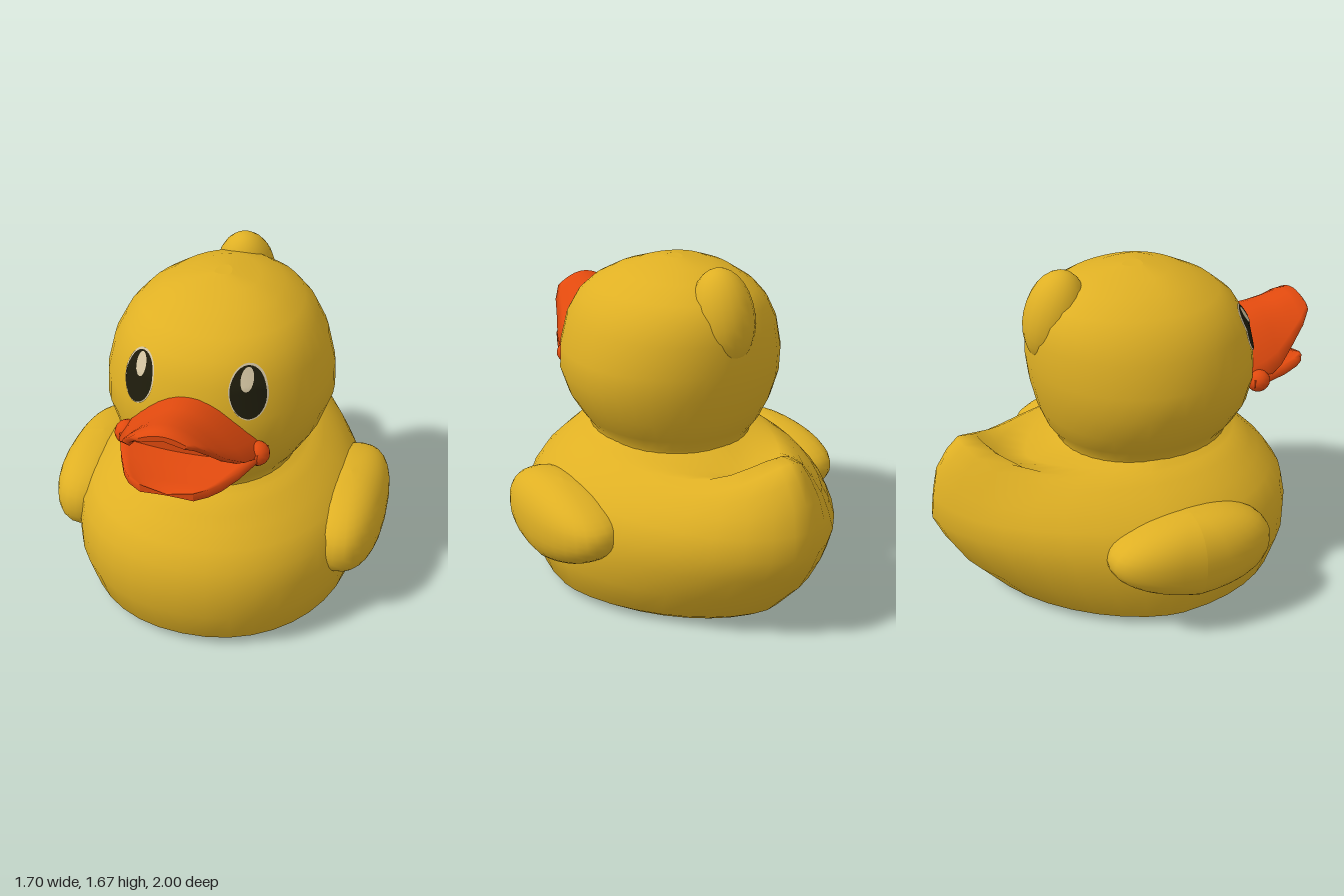
import * as THREE from 'three';

const mat = (name, color, side = THREE.FrontSide) => {
  const m = new THREE.MeshStandardMaterial({ color, side });
  m.name = name;
  return m;
};

// Skin closed rings of points; each ring runs anticlockwise seen from the last ring.
function loft(rings) {
  const n = rings[0].length, pos = rings.flat(2), idx = [];
  for (let i = 0; i < rings.length - 1; i++)
    for (let j = 0; j < n; j++) {
      const k = (j + 1) % n, a = i * n, b = a + n;
      idx.push(a + j, a + k, b + k, a + j, b + k, b + j);
    }
  // flat end caps with their own vertices
  [rings[0], rings[rings.length - 1]].forEach((ring, end) => {
    const base = pos.length / 3;
    pos.push(...ring.flat());
    const c = [0, 1, 2].map(d => ring.reduce((s, p) => s + p[d], 0) / n);
    pos.push(...c);
    for (let j = 0; j < n; j++) {
      const k = (j + 1) % n;
      idx.push(base + n, base + (end ? j : k), base + (end ? k : j));
    }
  });
  const g = new THREE.BufferGeometry();
  g.setAttribute('position', new THREE.Float32BufferAttribute(pos, 3));
  g.setIndex(idx);
  g.computeVertexNormals();
  return g;
}

const spow = (v, p) => Math.sign(v) * Math.abs(v) ** p;

// Horizontal egg outline: front reach, back reach, half width, roundness of each half.
function eggRing(y, front, back, width, mid, nFront, nBack, yBack = y) {
  const ring = [];
  for (let j = 0; j < 40; j++) {
    const a = j / 40 * Math.PI * 2, s = Math.sin(a), c = Math.cos(a);
    const p = 2 / (c > 0 ? nFront : nBack);
    const x = width * spow(s, p);
    const z = mid + Math.abs(spow(c, p)) * (c > 0 ? front - mid : back - mid);
    const lift = c < 0 ? Math.exp(-((x / 0.2) ** 2)) * Math.min(1, -c * 1.5) : 0;
    ring.push([x, y + (yBack - y) * lift, z]);
  }
  return ring;
}

// y, front z, back z, half width, y at the tail
const BODY = [
  [0, .79, -.65, .62, 0], [.05, .84, -.72, .69, .05], [.22, .885, -.87, .74, .22],
  [.36, .885, -.95, .74, .36], [.48, .86, -1, .72, .48], [.57, .8, -.985, .66, .6],
  [.64, .73, -.96, .59, .73], [.68, .69, -.9, .54, .83], [.71, .66, -.84, .5, .89],
  [.73, .63, -.74, .47, .88], [.745, .61, -.66, .44, .76], [.755, .59, -.5, .42, .71],
  [.78, .56, -.3, .38, .78],
];
// y, front z, back z, half width
const HEAD = [
  [.74, .58, -.33, .4], [.78, .57, -.32, .39], [.85, .62, -.37, .44], [.95, .665, -.41, .5],
  [1.08, .68, -.44, .545], [1.2, .67, -.455, .54], [1.35, .635, -.45, .5], [1.45, .575, -.42, .445],
  [1.52, .49, -.37, .38], [1.585, .36, -.27, .28], [1.625, .24, -.14, .17], [1.645, .12, .02, .04],
];
const HEAD_MID = 0.1, HEAD_N = 2.1;

// Front surface of the head at x, y
function headZ(x, y) {
  const i = HEAD.findIndex(r => r[0] > y) - 1, a = HEAD[i], b = HEAD[i + 1];
  const t = (y - a[0]) / (b[0] - a[0]), at = d => a[d] + (b[d] - a[d]) * t;
  return HEAD_MID + (at(1) - HEAD_MID) * (1 - Math.abs(x / at(3)) ** HEAD_N) ** (1 / HEAD_N);
}

// Thin oval wrapped on the head
function eyePatch(cx, cy, rx, ry, tilt, offset) {
  const g = new THREE.RingGeometry(0, 1, 32, 5), p = g.attributes.position;
  for (let i = 0; i < p.count; i++) {
    const u = p.getX(i) * rx, v = p.getY(i) * ry;
    const x = cx + u * Math.cos(tilt) - v * Math.sin(tilt);
    const y = cy + u * Math.sin(tilt) + v * Math.cos(tilt);
    p.setXYZ(i, x, y, headZ(x, y) + offset);
  }
  g.computeVertexNormals();
  return g;
}

// Plump wing, fuller at the front and raised at the back
function wingGeometry(side) {
  const g = new THREE.SphereGeometry(1, 28, 20), p = g.attributes.position;
  for (let i = 0; i < p.count; i++) {
    const x = spow(p.getX(i), .85), y = spow(p.getY(i), .9), z = spow(p.getZ(i), .85);
    const back = Math.max(0, -z);
    p.setXYZ(i, side * .66 + x * .19, .405 + y * .22 * (1 - .3 * back) + .05 * back, .085 + z * .425);
  }
  g.computeVertexNormals();
  return g;
}

// Beak cross-section: over the upper curve from +x to -x, back along the lower curve
function beakRing(z, upper, lower) {
  const ring = [], n = 14;
  for (let j = 0; j <= n; j++) ring.push([...upper(1 - 2 * j / n), z]);
  for (let j = 0; j <= n; j++) ring.push([...lower(-1 + 2 * j / n), z]);
  return ring;
}

export function createModel() {
  const duck = new THREE.Group();
  duck.name = 'duck';
  const yellow = mat('yellow', 0xdfb024), orange = mat('orange', 0xe24a0e);
  const black = mat('black', 0x1e1c0c), cream = mat('cream', 0xd2c3a0);
  const add = (name, geometry, material) => {
    const m = new THREE.Mesh(geometry, material);
    m.name = name;
    duck.add(m);
    return m;
  };

  // body with upturned tail, and head
  add('body', loft(BODY.map(([y, f, b, w, t]) => eggRing(y, f, b, w, .05, 2.15, 1.6, t))), yellow);
  add('head', loft(HEAD.map(([y, f, b, w]) => eggRing(y, f, b, w, HEAD_MID, HEAD_N, 2))), yellow);

  // tuft at the back of the head
  const tuft = add('tuft', new THREE.SphereGeometry(1, 20, 14), yellow);
  tuft.scale.set(.15, .23, .15);
  tuft.position.set(0, 1.44, -.325);
  tuft.rotation.x = .25;

  // upper beak: z, half width, edge y, ridge y
  const upperBeak = [
    [.58, .34, 1.04, 1.29], [.68, .32, 1.06, 1.31], [.76, .29, 1.09, 1.315], [.85, .24, 1.16, 1.33],
    [.93, .2, 1.24, 1.35], [.985, .15, 1.295, 1.352], [1, .11, 1.305, 1.335],
  ].map(([z, w, e, r]) => {
    const arch = s => Math.cos(s * Math.PI / 2) ** .9;
    const thick = Math.min(.055, (r - e) * .8);
    return beakRing(z, s => [w * s, e + (r - e) * arch(s)],
      s => [w * .86 * s, e - .015 + (r - e - thick + .015) * arch(s)]);
  });
  add('upperBeak', loft(upperBeak), orange);

  // lower beak: z, half width, rim y, keel y
  const lowerBeak = [
    [.58, .35, 1.07, .95], [.68, .32, 1.07, .915], [.8, .27, 1.06, .94],
    [.9, .22, 1.06, .97], [.95, .18, 1.06, .99], [.975, .12, 1.045, 1.01],
  ].map(([z, w, rim, keel]) => beakRing(z,
    s => [w * s, rim - .03 * (1 - s * s)],
    s => [w * s, rim - .04 + (keel - rim + .04) * (1 - Math.abs(s) ** 1.5)]));
  add('lowerBeak', loft(lowerBeak), orange);

  // back wall of the open mouth
  const wall = new THREE.Shape([[-.29, 1], [.29, 1], [.27, 1.12], [.15, 1.24], [0, 1.28], [-.15, 1.24], [-.27, 1.12]]
    .map(p => new THREE.Vector2(...p)));
  add('mouthWall', new THREE.ExtrudeGeometry(wall, { depth: .03, bevelEnabled: false }), orange).position.z = .67;

  for (const side of [1, -1]) {
    const label = side > 0 ? 'left' : 'right';
    add(label + 'Wing', wingGeometry(side), yellow);

    // rounded mouth corner
    const corner = add(label + 'MouthCorner', new THREE.SphereGeometry(1, 14, 10), orange);
    corner.scale.set(.055, .055, .06);
    corner.position.set(side * .31, 1.045, .62);

    // eye: pale rim, dark oval, highlight
    add(label + 'EyeRim', eyePatch(side * .252, 1.325, .078, .122, side * .25, .004), cream);
    add(label + 'Eye', eyePatch(side * .252, 1.325, .072, .115, side * .25, .008), black);
    add(label + 'EyeHighlight', eyePatch(side * .243, 1.385, .026, .048, side * .1, .012), cream);
  }
  return duck;
}
